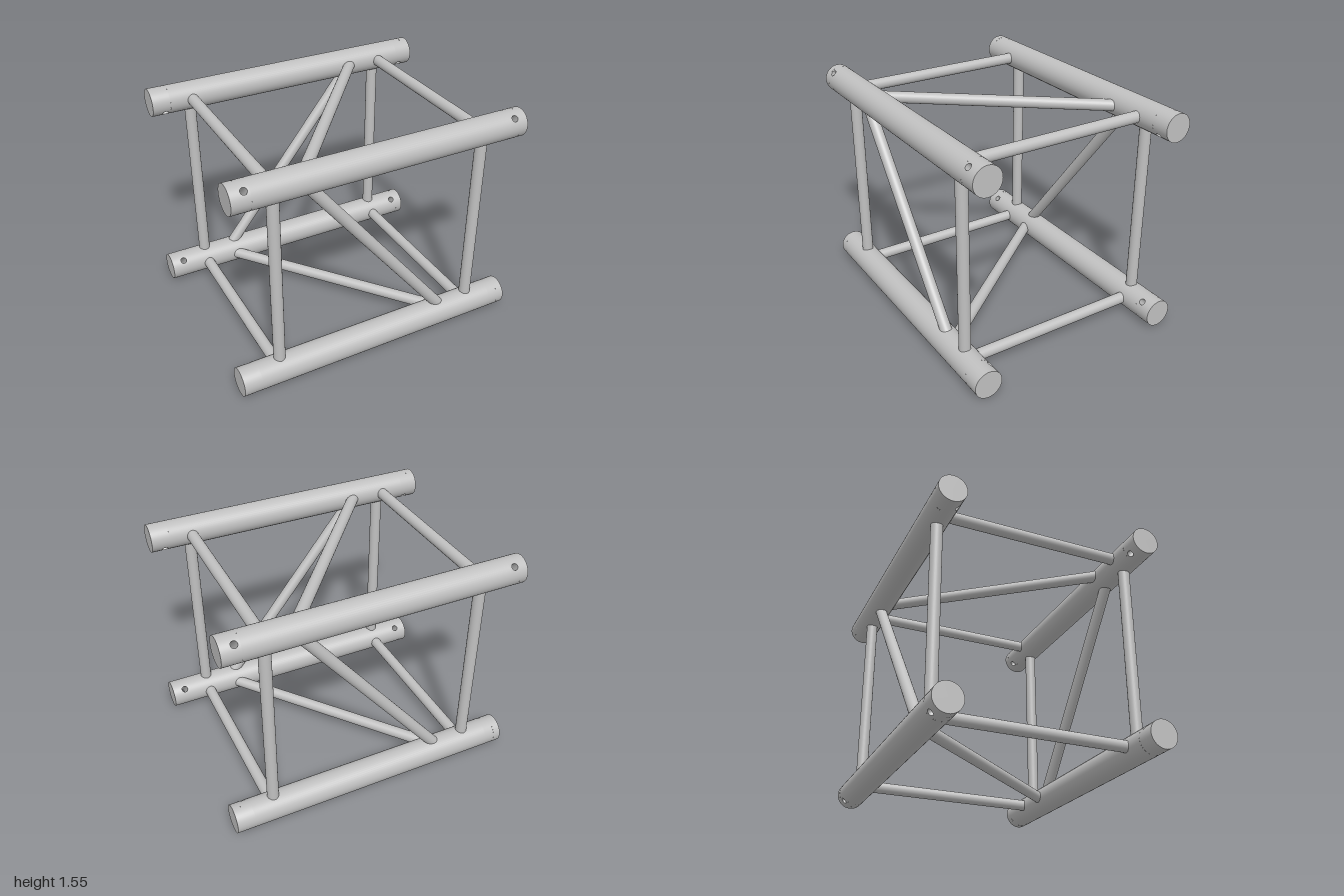
import * as THREE from 'three';

const R = 0.095;       // chord radius
const BRACE = 0.039;   // brace radius
const HOLE = 0.0215;   // pin hole radius
const HOLE_X = 0.912;  // pin hole distance from the middle
const BAND = 0.035;    // half width of the chord band holding a hole
const HALF = 0.68;     // chord centre distance from the frame centre
const MID_Y = 0.777;

const metal = new THREE.MeshStandardMaterial({ color: 0xc0c0c0, side: THREE.DoubleSide });
metal.name = 'aluminium';

function add(parent, name, geometry) {
  const mesh = new THREE.Mesh(geometry, metal);
  mesh.name = name;
  parent.add(mesh);
  return mesh;
}

// Open tube along x between two positions
function sleeve(x0, x1) {
  return new THREE.CylinderGeometry(R, R, x1 - x0, 48, 1, true)
    .rotateZ(Math.PI / 2).translate((x0 + x1) / 2, 0, 0);
}

// Half of the chord's round wall, with a pin hole in its middle
function holedHalf() {
  const g = new THREE.PlaneGeometry(1, 1, 64, 8);
  const p = g.attributes.position, n = g.attributes.normal;
  for (let i = 0; i < p.count; i++) {
    const t = (p.getX(i) + 0.5) * Math.PI * 2;
    const s = p.getY(i) + 0.5;
    const c = Math.cos(t), d = Math.sin(t);
    const m = Math.max(Math.abs(c), Math.abs(d));
    const x = THREE.MathUtils.lerp(HOLE * c, BAND * c / m, s);
    const a = THREE.MathUtils.lerp(Math.asin(HOLE * d / R), Math.PI / 2 * d / m, s);
    p.setXYZ(i, x, R * Math.cos(a), R * Math.sin(a));
    n.setXYZ(i, 0, Math.cos(a), Math.sin(a));
  }
  return g;
}

// Wall of the pin hole, its rims trimmed to the chord surface
function holeWall() {
  const g = new THREE.CylinderGeometry(HOLE, HOLE, 1, 64, 1, true);
  const p = g.attributes.position;
  for (let i = 0; i < p.count; i++) {
    p.setY(i, Math.sign(p.getY(i)) * Math.sqrt(R * R - p.getZ(i) ** 2));
  }
  return g;
}

// Main tube with closed ends and a cross-drilled hole near each end
function makeChord() {
  const chord = new THREE.Group();
  chord.name = 'chord';
  add(chord, 'chordTube', sleeve(-HOLE_X + BAND, HOLE_X - BAND));
  for (const s of [-1, 1]) {
    const inner = s * (HOLE_X + BAND);
    add(chord, 'chordEnd', sleeve(Math.min(inner, s), Math.max(inner, s)));
    add(chord, 'chordCap', new THREE.CircleGeometry(R, 48).rotateY(s * Math.PI / 2).translate(s, 0, 0));
    add(chord, 'pinHole', holeWall()).position.x = s * HOLE_X;
    for (const turn of [0, Math.PI]) {
      add(chord, 'drilledWall', holedHalf().rotateX(turn)).position.x = s * HOLE_X;
    }
  }
  return chord;
}

// Round bar between two points
function addBar(parent, name, a, b) {
  const dir = b.clone().sub(a);
  const bar = add(parent, name, new THREE.CylinderGeometry(BRACE, BRACE, dir.length(), 32));
  bar.position.copy(a).add(b).multiplyScalar(0.5);
  bar.quaternion.setFromUnitVectors(new THREE.Vector3(0, 1, 0), dir.normalize());
}

// One side of the frame: two cross bars and a diagonal
function makeSide() {
  const side = new THREE.Group();
  side.name = 'braces';
  const h = HALF - 0.04;
  for (const x of [-0.72, 0.72]) {
    addBar(side, 'crossBar', new THREE.Vector3(x, -h, HALF), new THREE.Vector3(x, h, HALF));
  }
  const k = h * 0.8;
  addBar(side, 'diagonal', new THREE.Vector3(-k, h, HALF), new THREE.Vector3(k, -h, HALF));
  return side;
}

export function createModel() {
  const truss = new THREE.Group();
  truss.name = 'boxTruss';

  // Four chords, holes pointing diagonally outward
  for (const y of [-1, 1]) {
    for (const z of [-1, 1]) {
      const chord = makeChord();
      chord.position.set(0, MID_Y + y * HALF, z * HALF);
      chord.rotation.x = y * z * Math.PI / 4;
      truss.add(chord);
    }
  }

  // Braced sides: front, top, back and bottom
  for (let i = 0; i < 4; i++) {
    const side = makeSide();
    side.rotation.x = -i * Math.PI / 2;
    // the diagonals of the top and bottom lean the other way
    if (i % 2) side.scale.x = -1;
    side.position.y = MID_Y;
    truss.add(side);
  }
  return truss;
}
